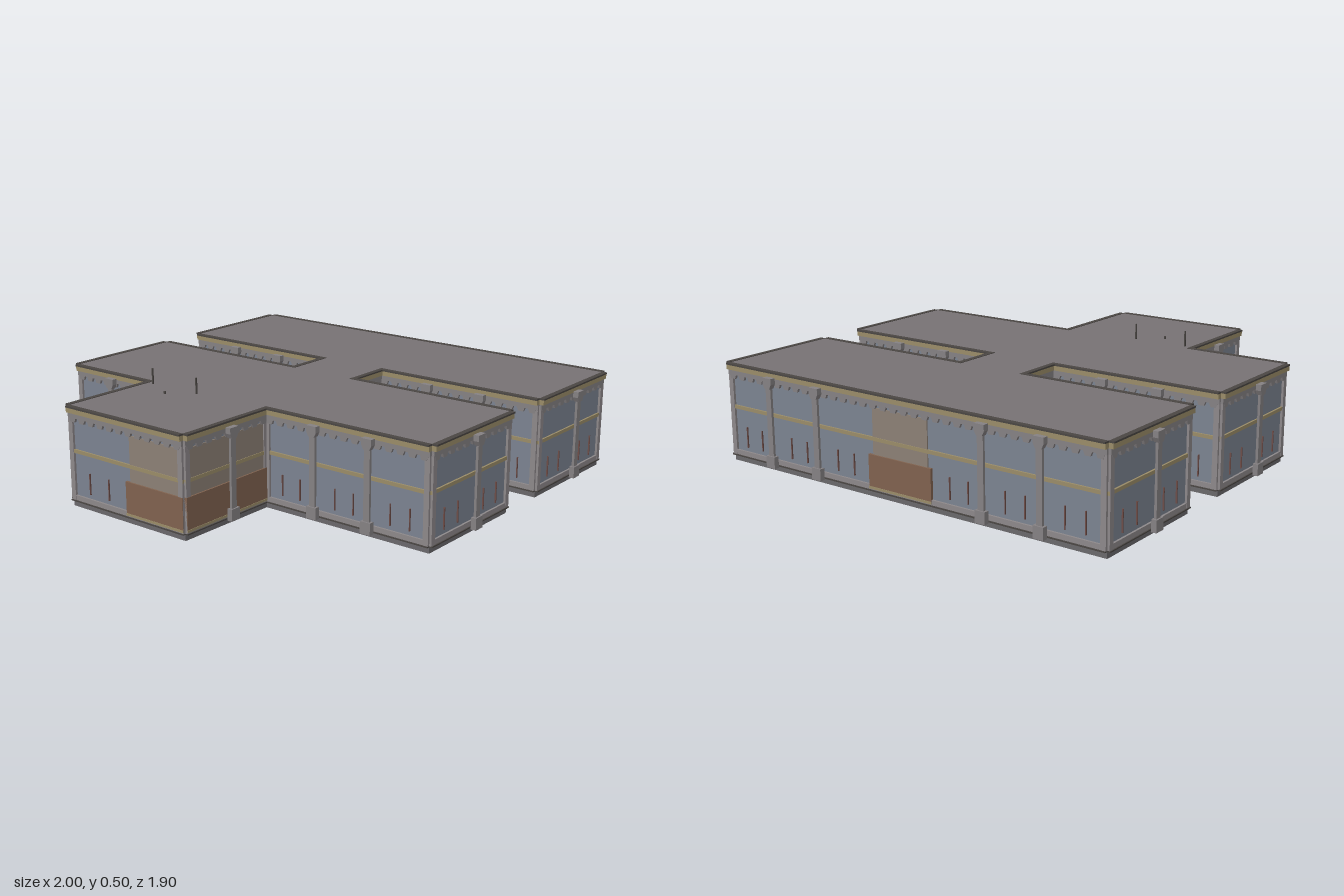
import * as THREE from 'three';

const mat = (color) => new THREE.MeshStandardMaterial({ color, side: THREE.DoubleSide });
const M = {
  roof: mat(0x777274), base: mat(0x6a686b), glass: mat(0x7b8390), frame: mat(0x8d888a),
  cornice: mat(0x9a8c68), brick: mat(0x80624f), plaster: mat(0x8c8075),
  stone: mat(0x858183), dark: mat(0x4a4643), rod: mat(0x6d4c47),
};

// Footprint walked so that each wall's outside lies to its local +z.
// p: pier positions along the wall, brick: span clad in brick and plaster.
const corners = [
  { at: [-0.48, 0.925], brick: [0.325, 0.635] },
  { at: [0.155, 0.925], p: [0.24], brick: [0, 0.48] },
  { at: [0.155, 0.445], p: [0.267, 0.533] },
  { at: [0.955, 0.445], p: [0.28] },
  { at: [0.955, -0.115], p: [0.267, 0.533] },
  { at: [0.155, -0.115], brick: [0, 0.235] },
  { at: [0.155, -0.35], p: [0.267, 0.533] },
  { at: [0.955, -0.35], p: [0.28] },
  { at: [0.955, -0.91], p: [0.267, 0.533, 1.377, 1.643], brick: [0.795, 1.115] },
  { at: [-0.955, -0.91], p: [0.28] },
  { at: [-0.955, -0.35], p: [0.267, 0.533] },
  { at: [-0.155, -0.35], brick: [0, 0.235] },
  { at: [-0.155, -0.115], p: [0.267, 0.533] },
  { at: [-0.955, -0.115], p: [0.28] },
  { at: [-0.955, 0.445], p: [0.2375] },
  { at: [-0.48, 0.445], p: [0.24] },
];

// Box given by its limits in x, y and z
function box(parent, name, material, x0, x1, y0, y1, z0, z1) {
  const mesh = new THREE.Mesh(new THREE.BoxGeometry(x1 - x0, y1 - y0, z1 - z0), material);
  mesh.position.set((x0 + x1) / 2, (y0 + y1) / 2, (z0 + z1) / 2);
  mesh.name = name;
  parent.add(mesh);
}

function slab(parent, name, material, y0, y1) {
  const shape = new THREE.Shape(corners.map((c) => new THREE.Vector2(c.at[0], -c.at[1])));
  const geo = new THREE.ExtrudeGeometry(shape, { depth: y1 - y0, bevelEnabled: false });
  geo.rotateX(-Math.PI / 2).translate(0, y0, 0);
  const mesh = new THREE.Mesh(geo, material);
  mesh.name = name;
  parent.add(mesh);
}

// Strip with a row of hanging tabs under the cornice
function frieze(parent, length) {
  const n = Math.max(3, Math.round(length / 0.053)), w = length / n;
  const s = new THREE.Shape();
  s.moveTo(0, 0.405);
  s.lineTo(0, 0.383);
  for (let i = 0; i < n; i++) {
    const x = i * w;
    s.lineTo(x + w * 0.15, 0.383);
    s.lineTo(x + w * 0.28, 0.366);
    s.lineTo(x + w * 0.72, 0.366);
    s.lineTo(x + w * 0.85, 0.383);
  }
  s.lineTo(length, 0.383);
  s.lineTo(length, 0.405);
  const mesh = new THREE.Mesh(new THREE.ExtrudeGeometry(s, { depth: 0.011, bevelEnabled: false }), M.stone);
  mesh.name = 'scallopedFrieze';
  parent.add(mesh);
}

// Slim free-standing pier with plinth and tapered capital
function pier(parent, x) {
  const g = new THREE.Group();
  g.name = 'pier';
  g.position.x = x;
  box(g, 'plinth', M.stone, -0.024, 0.024, 0.025, 0.075, 0.022, 0.045);
  box(g, 'shaft', M.stone, -0.014, 0.014, 0.075, 0.375, 0.027, 0.038);
  const cap = new THREE.Shape([[-0.014, 0.365], [0.014, 0.365], [0.024, 0.385], [0.024, 0.41], [-0.024, 0.41], [-0.024, 0.385]]
    .map(([a, b]) => new THREE.Vector2(a, b)));
  const mesh = new THREE.Mesh(new THREE.ExtrudeGeometry(cap, { depth: 0.024, bevelEnabled: false }), M.stone);
  mesh.position.z = 0.02;
  mesh.name = 'capital';
  g.add(mesh);
  parent.add(g);
}

function wall(c, next) {
  const dx = next.at[0] - c.at[0], dz = next.at[1] - c.at[1];
  const L = Math.hypot(dx, dz);
  const g = new THREE.Group();
  g.name = 'wall';
  g.position.set(c.at[0], 0, c.at[1]);
  g.rotation.y = Math.atan2(-dz, dx);

  // Cornice, string course and sill
  box(g, 'cornice', M.cornice, 0, L, 0.405, 0.426, 0, 0.02);
  box(g, 'corniceCap', M.dark, 0, L, 0.426, 0.433, 0, 0.023);
  box(g, 'stringCourse', M.cornice, 0, L, 0.235, 0.25, 0, 0.008);
  box(g, 'sill', M.frame, 0, L, 0.03, 0.052, 0, 0.009);
  box(g, 'sillLine', M.dark, 0, L, 0.026, 0.031, 0, 0.014);
  frieze(g, L);

  // End posts
  for (const x of [0, L - 0.024]) box(g, 'cornerPost', M.frame, x, x + 0.024, 0.03, 0.405, 0, 0.01);

  // Brick and plaster cladding
  const [b0, b1] = c.brick || [-1, -1];
  if (c.brick) {
    box(g, 'brickPanel', M.brick, b0, b1, 0.045, 0.178, 0, 0.012);
    box(g, 'plasterPanel', M.plaster, b0 + 0.02, b1 - 0.02, 0.178, 0.37, 0, 0.005);
    box(g, 'brickSill', M.cornice, b0, b1, 0.036, 0.046, 0, 0.014);
  }

  // Piers, with two thin rods in each glazed bay between them
  const piers = c.p || [];
  piers.forEach((x) => pier(g, x));
  const stops = [0, ...piers, ...(c.brick || []), L].sort((a, b) => a - b);
  for (let i = 0; i + 1 < stops.length; i++) {
    const w = stops[i + 1] - stops[i];
    const mid = stops[i] + w / 2;
    if (w < 0.1 || (mid > b0 && mid < b1)) continue;
    for (const f of [0.33, 0.67]) {
      const x = stops[i] + w * f;
      box(g, 'wallRod', M.rod, x - 0.002, x + 0.002, 0.07, 0.16, 0, 0.006);
    }
  }
  return g;
}

export function createModel() {
  const model = new THREE.Group();
  model.name = 'building';
  slab(model, 'foundation', M.base, 0, 0.03);
  slab(model, 'glazedWalls', M.glass, 0.03, 0.41);
  slab(model, 'roof', M.roof, 0.41, 0.431);
  corners.forEach((c, i) => model.add(wall(c, corners[(i + 1) % corners.length])));

  // Roof aerials and a small vent
  for (const x of [-0.45, -0.195]) {
    box(model, 'aerial', M.dark, x - 0.003, x + 0.003, 0.43, 0.5, 0.477, 0.483);
  }
  const vent = new THREE.Mesh(new THREE.CylinderGeometry(0.005, 0.005, 0.012, 8), M.dark);
  vent.position.set(-0.3, 0.436, 0.56);
  vent.name = 'roofVent';
  model.add(vent);
  return model;
}
